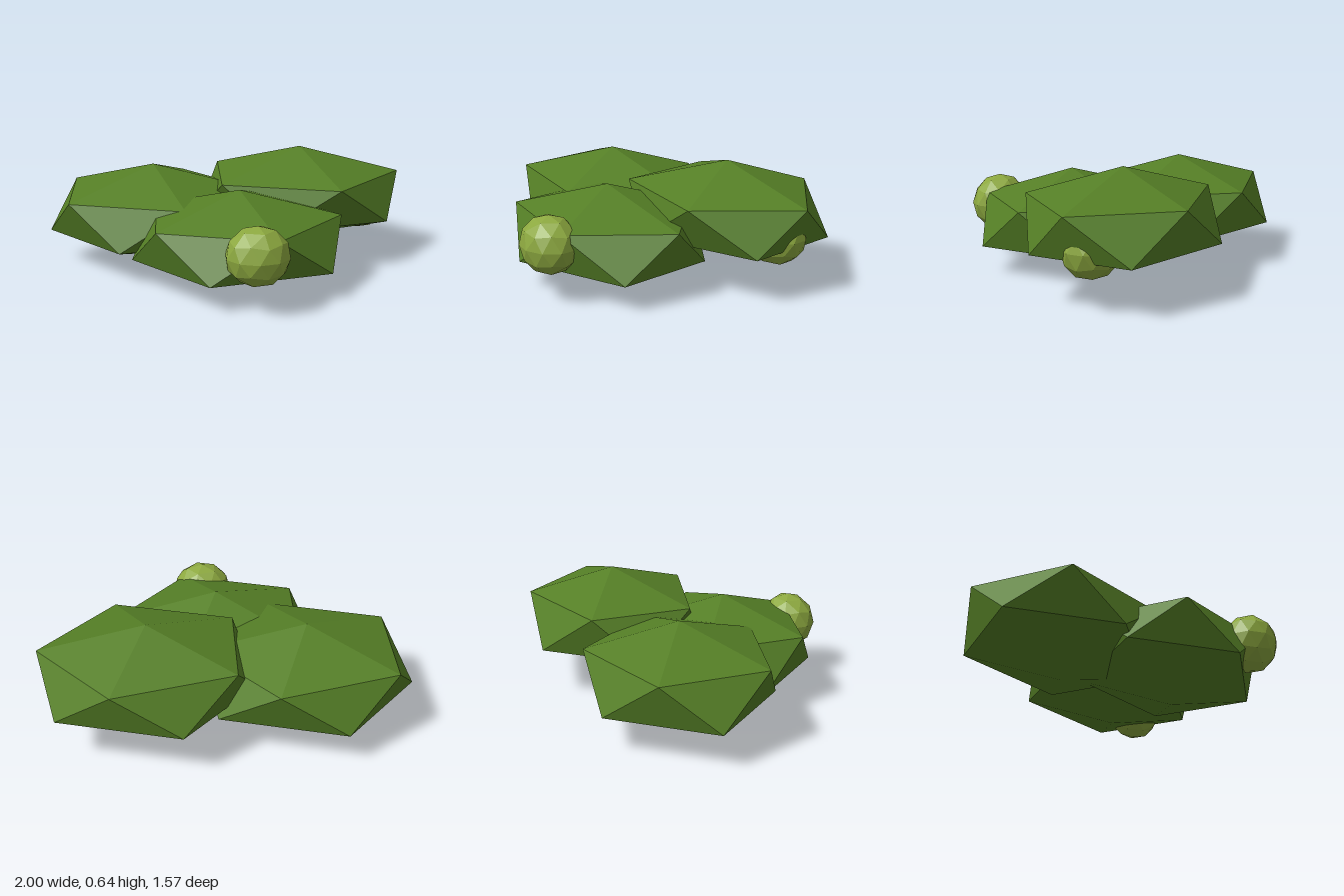
import * as THREE from 'three';
import { ConvexGeometry } from 'three/addons/geometries/ConvexGeometry.js';

// Flattened icosahedron with a vertex at top and bottom.
// up / low: x radius of the upper and lower rings, rz: z radius, lean: z offset of the rings
function leafClump(name, [cx, cy, cz], h, up, low, rz, lean, material) {
  const points = [new THREE.Vector3(0, h, 0), new THREE.Vector3(0, -h, 0)];
  const s = 0.894;
  for (let i = 0; i < 5; i++) {
    const a = (i * 2 * Math.PI) / 5;
    const b = a + Math.PI;
    points.push(new THREE.Vector3(Math.cos(a) * s * up, h * 0.442, Math.sin(a) * s * rz + lean));
    points.push(new THREE.Vector3(Math.cos(b) * s * low, -h * 0.442, Math.sin(b) * s * rz - lean));
  }
  const mesh = new THREE.Mesh(new ConvexGeometry(points), material);
  mesh.name = name;
  mesh.position.set(cx, cy, cz);
  return mesh;
}

// Small faceted ball, pole up
function berry(name, position, material) {
  const geometry = new THREE.IcosahedronGeometry(1, 1);
  geometry.rotateZ(-0.5536);
  geometry.scale(0.168, 0.158, 0.148);
  geometry.computeVertexNormals();
  const mesh = new THREE.Mesh(geometry, material);
  mesh.name = name;
  mesh.position.set(...position);
  return mesh;
}

export function createModel() {
  const group = new THREE.Group();
  group.name = 'bush';

  const leafGreen = new THREE.MeshStandardMaterial({ color: 0x557f26 });
  leafGreen.name = 'leafGreen';
  const berryGreen = new THREE.MeshStandardMaterial({ color: 0x8ca83f });
  berryGreen.name = 'berryGreen';

  group.add(
    // Three overlapping foliage masses
    leafClump('rightClump', [-0.41, 0.303, -0.235], 0.265, 0.63, 0.66, 0.55, 0.008, leafGreen),
    leafClump('leftClump', [0.43, 0.375, -0.32], 0.265, 0.637, 0.65, 0.53, 0.015, leafGreen),
    leafClump('frontClump', [0.05, 0.263, 0.2], 0.263, 0.615, 0.645, 0.535, -0.003, leafGreen),
    // Two berries
    berry('frontBerry', [0.112, 0.303, 0.64], berryGreen),
    berry('leftBerry', [0.78, 0.303, -0.335], berryGreen)
  );
  return group;
}
